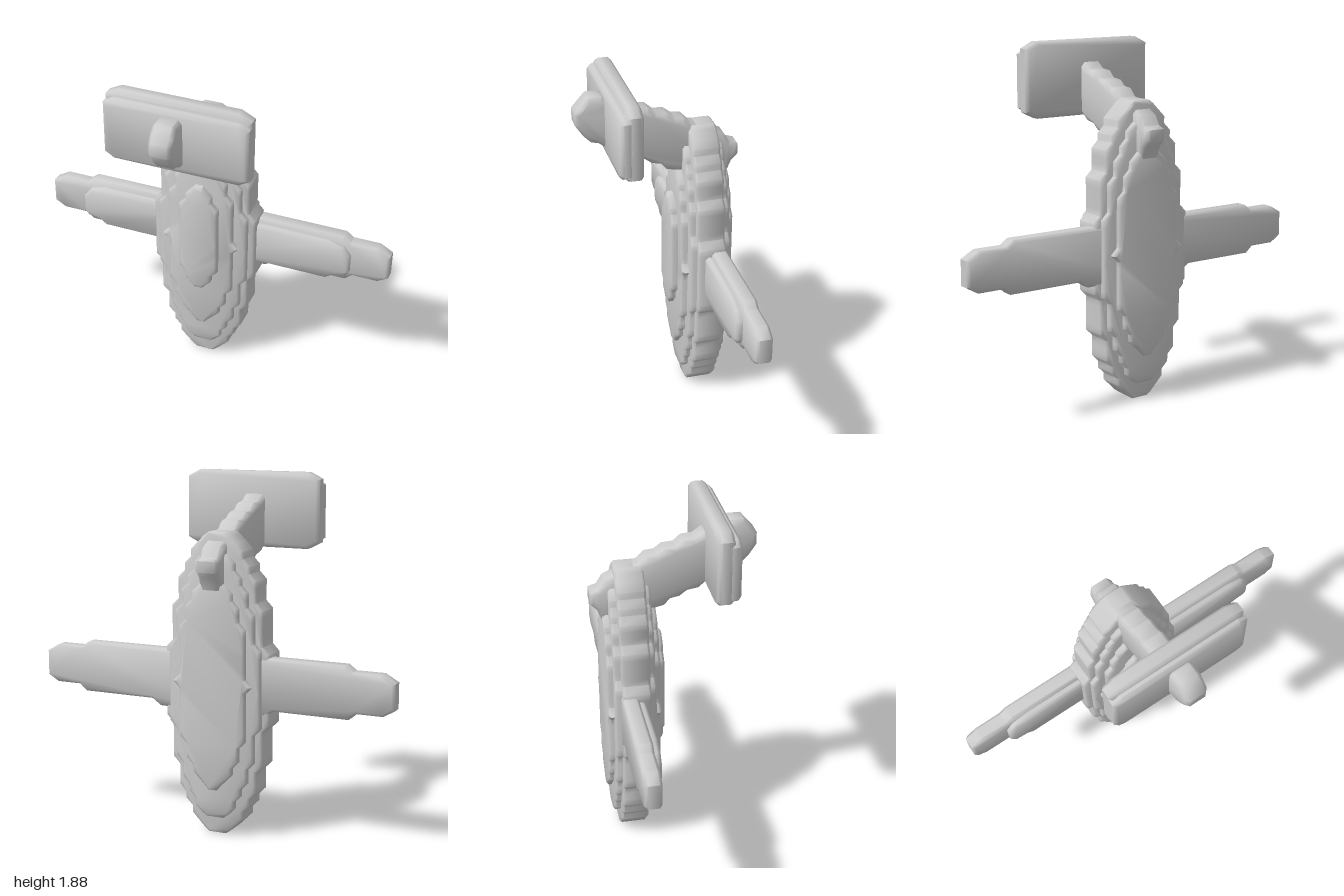
import * as THREE from 'three';
import { toCreasedNormals } from 'three/addons/utils/BufferGeometryUtils.js';

const STEP = 0.037;      // size of one terrace
const CENTRE_X = -0.033; // the body sits slightly off centre

export function createModel() {
  const model = new THREE.Group();
  const material = new THREE.MeshStandardMaterial({ color: 0xcccccc });

  // Slab with softened edges: outline in x/y, between two z levels
  function slab(points, back, front, bevel = 0.012) {
    const shape = new THREE.Shape(points.map(([x, y]) => new THREE.Vector2(x, y)));
    const geometry = new THREE.ExtrudeGeometry(shape, {
      depth: front - back - 2 * bevel,
      bevelThickness: bevel, bevelSize: bevel, bevelOffset: -bevel, bevelSegments: 1,
    });
    geometry.translate(0, 0, back + bevel);
    return toCreasedNormals(geometry, 0.9);
  }

  function add(parent, name, geometry) {
    const mesh = new THREE.Mesh(geometry, material);
    mesh.name = name;
    parent.add(mesh);
    return mesh;
  }

  function group(name) {
    const g = new THREE.Group();
    g.name = name;
    model.add(g);
    return g;
  }

  // Ellipse whose edge climbs in small steps
  function steppedEllipse(halfWidth, halfHeight, centreY) {
    const rows = Math.round((2 * halfHeight) / STEP);
    const right = [];
    for (let i = 0; i < rows; i++) {
      const t = (2 * (i + 0.5)) / rows - 1;
      const w = Math.max(1, Math.round((halfWidth * Math.sqrt(1 - t * t)) / STEP)) * STEP;
      const y = centreY + t * halfHeight;
      if (i === 0) right.push([w * 0.65, centreY - halfHeight]);
      right.push([w, y]);
      if (i === rows - 1) right.push([w * 0.65, centreY + halfHeight]);
    }
    const left = right.map(([x, y]) => [-x, y]).reverse();
    return [...right, ...left].map(([x, y]) => [x + CENTRE_X, y]);
  }

  // Body: terraced oval layers, flat at the back: [back z, front z, scale, centre y]
  const body = group('body');
  [
    [-0.31, -0.16, 1.0, 0.8],
    [-0.345, -0.128, 0.88, 0.8],
    [-0.375, -0.095, 0.71, 0.82],
    [-0.2, -0.06, 0.42, 0.86],
  ].forEach(([back, front, s, cy], i) =>
    add(body, 'bodyLayer' + (i + 1), slab(steppedEllipse(0.287 * s, 0.8 * s, cy), back, front)));

  // Wings: long flat blade with a shorter raised layer in front
  const blade = [
    [0, 0.66], [0.3, 0.66], [0.35, 0.695], [0.76, 0.695], [0.8, 0.73], [0.94, 0.73], [1, 0.765],
    [1, 0.9], [0.93, 0.94], [0.78, 0.94], [0.74, 0.97], [0, 0.97],
  ];
  const raised = [
    [0, 0.7], [0.66, 0.7], [0.7, 0.73], [0.77, 0.74], [0.79, 0.77],
    [0.79, 0.87], [0.75, 0.92], [0.66, 0.945], [0, 0.945],
  ];
  for (const side of [1, -1]) {
    const wing = group(side > 0 ? 'leftWing' : 'rightWing');
    const mirror = (pts) => pts.map(([x, y]) => [x * side, y]);
    add(wing, 'wingBlade', slab(mirror(blade), -0.315, -0.228, 0.015));
    add(wing, 'wingRaisedLayer', slab(mirror(raised), -0.26, -0.193, 0.015));
  }

  // Tail plate: rectangle with clipped corners
  function clippedRect(x0, x1, y0, y1, cx, cy) {
    return [
      [x0 + cx, y0], [x1 - cx, y0], [x1, y0 + cy], [x1, y1 - cy],
      [x1 - cx, y1], [x0 + cx, y1], [x0, y1 - cy], [x0, y0 + cy],
    ];
  }
  const tail = group('tailPlate');
  add(tail, 'tailPlateBack', slab(clippedRect(-0.405, 0.37, 1.475, 1.88, 0.07, 0.035), 0.16, 0.245, 0.018));
  add(tail, 'tailPlateFront', slab(clippedRect(-0.405, 0.37, 1.5, 1.845, 0.05, 0.03), 0.2, 0.28, 0.018));

  // Tail boom: side profile as [z, y], stepped along its upper and lower edges
  const profile = [
    [0.43, 1.67], [0.43, 1.735], [0.4, 1.77], [0.36, 1.815], [0.29, 1.815], [0.25, 1.78],
    [0.16, 1.76], [0.11, 1.725], [0.05, 1.72], [0.01, 1.685], [-0.05, 1.68], [-0.09, 1.65],
    [-0.14, 1.645], [-0.18, 1.605], [-0.26, 1.59], [-0.3, 1.56], [-0.36, 1.53], [-0.39, 1.48],
    [-0.435, 1.465], [-0.435, 1.405], [-0.4, 1.37], [-0.375, 1.31], [-0.3, 1.3], [-0.12, 1.35],
    [-0.05, 1.365], [-0.02, 1.4], [0.03, 1.41], [0.07, 1.44], [0.13, 1.45], [0.17, 1.485],
    [0.23, 1.49], [0.27, 1.53], [0.31, 1.56], [0.35, 1.57], [0.39, 1.61],
  ];
  const boom = add(model, 'tailBoom', slab(profile.map(([z, y]) => [-z, y]), -0.062, 0.062, 0.018));
  boom.rotation.y = Math.PI / 2; // profile x becomes -z
  boom.position.x = CENTRE_X;

  return model;
}
